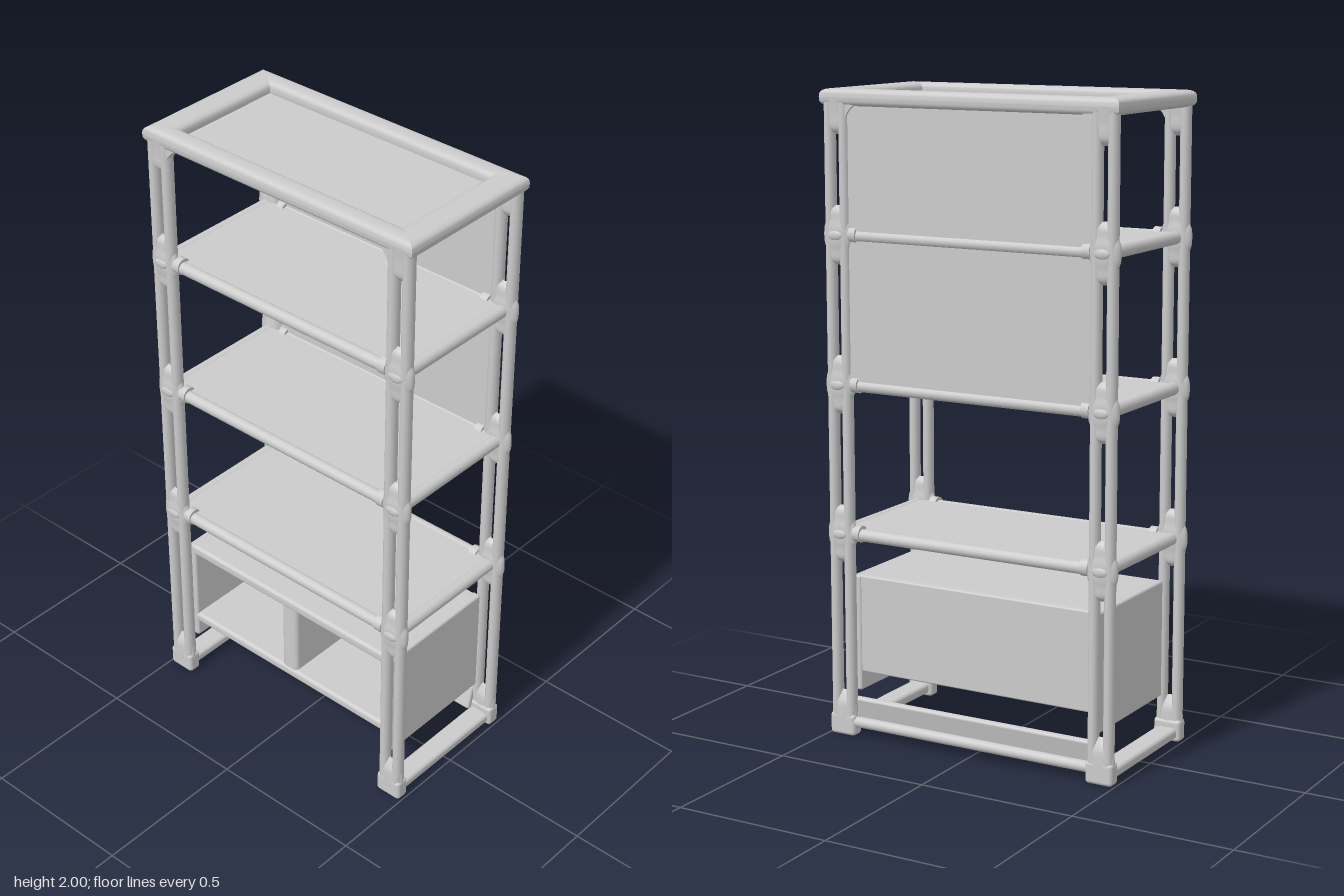
import * as THREE from 'three';
import { RoundedBoxGeometry } from 'three/addons/geometries/RoundedBoxGeometry.js';

const mat = new THREE.MeshStandardMaterial({ color: 0xcccccc });
const matDouble = new THREE.MeshStandardMaterial({ color: 0xcccccc, side: THREE.DoubleSide });

function add(parent, name, geo, x = 0, y = 0, z = 0, material = mat) {
  const m = new THREE.Mesh(geo, material);
  m.name = name;
  m.position.set(x, y, z);
  parent.add(m);
  return m;
}

const rounded = (w, h, d, r) => new RoundedBoxGeometry(w, h, d, 3, r);

// Round bar along x or z
function bar(parent, name, axis, length, r, x, y, z) {
  const g = new THREE.CylinderGeometry(r, r, length, 16);
  if (axis === 'x') g.rotateZ(Math.PI / 2);
  if (axis === 'z') g.rotateX(Math.PI / 2);
  return add(parent, name, g, x, y, z);
}

// Flattened turned piece from [radius, y] pairs
function turned(profile, flat) {
  const pts = new THREE.SplineCurve(profile.map(([r, y]) => new THREE.Vector2(r, y))).getPoints(20);
  return new THREE.LatheGeometry(pts, 24).scale(1, 1, flat);
}

// Mitred rectangular rim: a rounded section swept along four sides
function makeRim(parent) {
  const N = 24, pos = (u, y, a) => {
    const x = 0.5 - 0.09 * u, z = 0.25 - 0.065 * u;
    return [[x, y, z], [x, y, -z], [-x, y, -z], [-x, y, z]][a % 4];
  };
  const soft = (v) => Math.sign(v) * Math.pow(Math.abs(v), 0.65);
  for (let side = 0; side < 4; side++) {
    const v = [], idx = [];
    for (let i = 0; i <= N; i++) {
      const t = (i / N) * Math.PI * 2;
      const u = 0.5 - 0.5 * soft(Math.cos(t)), y = 1.974 + 0.026 * soft(Math.sin(t));
      v.push(...pos(u, y, side), ...pos(u, y, side + 1));
      if (i < N) {
        const a = i * 2;
        idx.push(a, a + 1, a + 2, a + 1, a + 3, a + 2);
      }
    }
    const g = new THREE.BufferGeometry();
    g.setAttribute('position', new THREE.Float32BufferAttribute(v, 3));
    g.setIndex(idx);
    g.computeVertexNormals();
    add(parent, 'topRim', g, 0, 0, 0, matDouble);
  }
}

// Corner post: twin oval rods, swollen joints, foot and flared head
function makePost(sx, sz, levels) {
  const post = new THREE.Group();
  post.name = 'cornerPost';
  post.position.set(sx * 0.45, 0, sz * 0.229);
  for (const dx of [-0.0255, 0.0255]) {
    const rod = new THREE.CylinderGeometry(0.0165, 0.0165, 1.92, 16).scale(1, 1, 1.25);
    add(post, 'postRod', rod, dx, 1.0, 0);
  }
  const joint = turned([[0.005, -0.09], [0.036, -0.075], [0.041, -0.045], [0.049, -0.02],
    [0.049, 0.02], [0.041, 0.045], [0.036, 0.075], [0.005, 0.09]], 0.48);
  for (const y of levels) {
    add(post, 'postJoint', joint, 0, y, 0);
    const bolt = new THREE.SphereGeometry(0.016, 14, 8).scale(1.6, 1, 0.5);
    add(post, 'jointBolt', bolt, 0, y, sz * 0.02);
  }
  add(post, 'foot', rounded(0.09, 0.07, 0.046, 0.012), 0, 0.035, -sz * 0.002);
  add(post, 'footCollar', turned([[0.044, 0.04], [0.044, 0.075], [0.038, 0.11], [0.005, 0.145]], 0.5));
  add(post, 'postHead', turned([[0.005, 1.865], [0.036, 1.885], [0.04, 1.93], [0.047, 1.975]], 0.47));

  // Triangular gusset under the rim, towards the middle
  const s = new THREE.Shape();
  s.moveTo(0, 0);
  s.lineTo(-sx * 0.055, 0);
  s.quadraticCurveTo(-sx * 0.015, -0.02, 0, -0.075);
  s.closePath();
  const gusset = new THREE.ExtrudeGeometry(s, { depth: 0.03, bevelEnabled: false });
  add(post, 'headGusset', gusset, -sx * 0.025, 1.96, -0.015);
  return post;
}

// Shelf board edged by four rails with collars at the front and back ends
function makeShelf(y) {
  const shelf = new THREE.Group();
  shelf.name = 'shelf';
  shelf.position.y = y;
  add(shelf, 'shelfBoard', rounded(0.93, 0.024, 0.45, 0.008), 0, 0.004, 0);
  for (const s of [-1, 1]) {
    bar(shelf, 'shelfRail', 'x', 0.86, 0.019, 0, 0, s * 0.224);
    bar(shelf, 'sideRail', 'z', 0.44, 0.02, s * 0.455, 0, 0);
    for (const e of [-1, 1]) bar(shelf, 'railCollar', 'x', 0.025, 0.026, e * 0.395, 0.003, s * 0.222);
  }
  return shelf;
}

// Two open compartments with a shared divider and closed back
function makeCabinet() {
  const c = new THREE.Group();
  c.name = 'cabinet';
  add(c, 'cabinetTop', rounded(0.84, 0.036, 0.41, 0.012), 0, 0.494, 0.005);
  add(c, 'cabinetFloor', rounded(0.84, 0.034, 0.41, 0.012), 0, 0.218, 0.005);
  add(c, 'cabinetDivider', rounded(0.062, 0.28, 0.4, 0.015), 0, 0.355, 0.005);
  add(c, 'cabinetBack', rounded(0.84, 0.31, 0.02, 0.006), 0, 0.356, -0.195);
  for (const s of [-1, 1]) add(c, 'cabinetSide', rounded(0.03, 0.37, 0.42, 0.008), s * 0.416, 0.326, 0);
  return c;
}

export function createModel() {
  const model = new THREE.Group();
  model.name = 'shelvingUnit';
  const levels = [0.645, 1.11, 1.565];

  for (const sx of [-1, 1]) for (const sz of [-1, 1]) model.add(makePost(sx, sz, levels));
  for (const y of levels) model.add(makeShelf(y));
  model.add(makeCabinet());

  // Top rim with a sunken panel
  makeRim(model);
  add(model, 'topPanel', rounded(0.86, 0.014, 0.41, 0.005), 0, 1.959, 0);

  // Back panels of the two upper bays
  add(model, 'lowerBackPanel', new THREE.BoxGeometry(0.84, 0.44, 0.016), 0, 1.335, -0.228);
  add(model, 'upperBackPanel', new THREE.BoxGeometry(0.84, 0.39, 0.016), 0, 1.77, -0.228);

  // Base: side rails, back rail and back kick board
  for (const s of [-1, 1]) add(model, 'baseSideRail', rounded(0.07, 0.034, 0.44, 0.012), s * 0.45, 0.028, 0);
  bar(model, 'baseBackRail', 'x', 0.86, 0.017, 0, 0.045, -0.23);
  const kick = add(model, 'kickBoard', rounded(0.84, 0.085, 0.022, 0.008), 0, 0.08, -0.205);
  kick.rotation.x = -0.25;
  return model;
}
